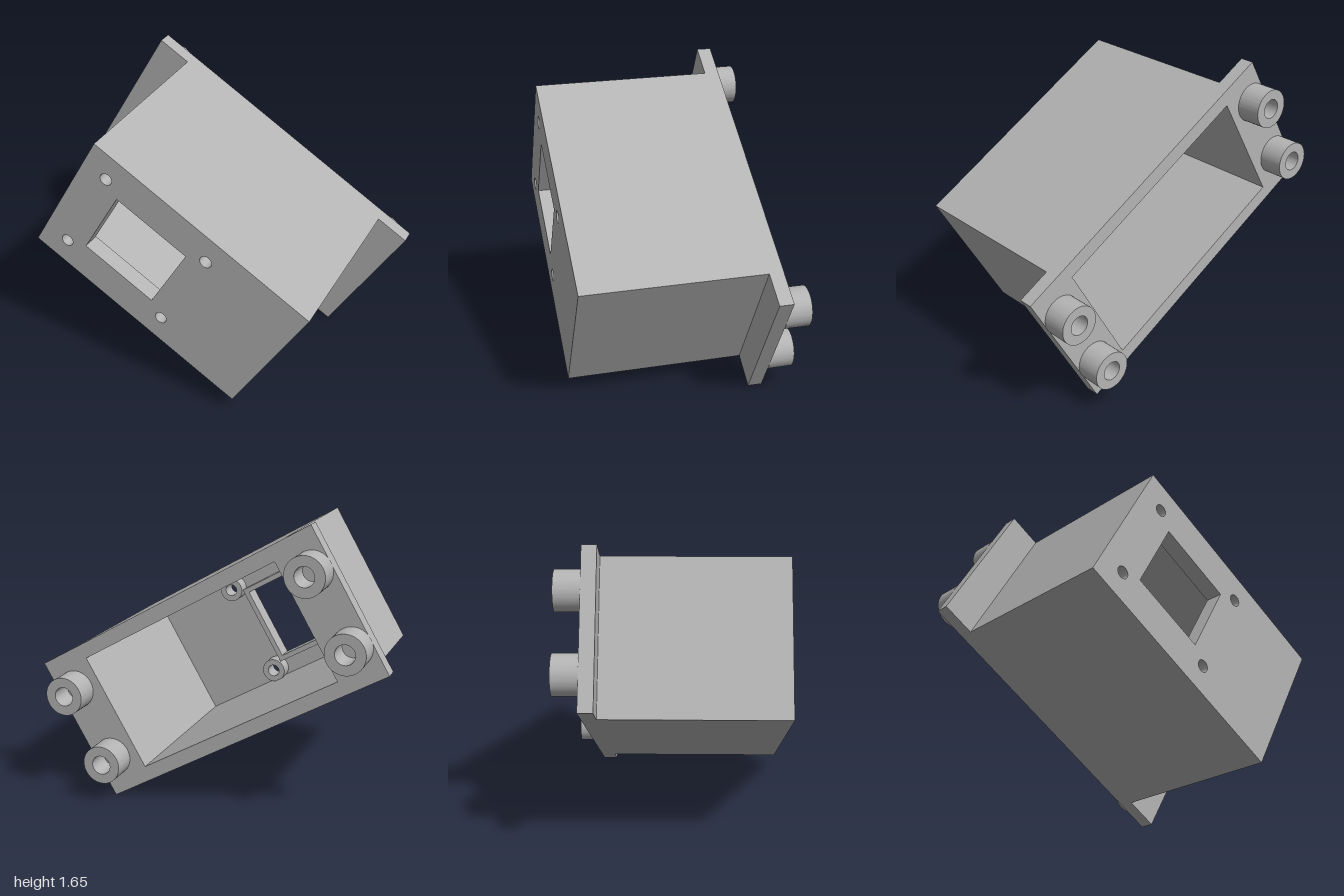
import * as THREE from 'three';
import { toCreasedNormals } from 'three/addons/utils/BufferGeometryUtils.js';

export function createModel() {
  const model = new THREE.Group();
  model.name = 'enclosure';
  const grey = new THREE.MeshStandardMaterial({ color: 0xb4b4b4 });
  grey.name = 'grey plastic';

  // Everything is laid out square, then tilted as one body
  const body = new THREE.Group();
  body.name = 'tiltedHousing';
  body.position.y = 0.826;
  body.rotation.z = -Math.PI / 6;
  model.add(body);

  const trace = (path, u0, u1, v0, v1) => {
    path.moveTo(u0, v0);
    path.lineTo(u1, v0);
    path.lineTo(u1, v1);
    path.lineTo(u0, v1);
    path.closePath();
    return path;
  };
  const rect = (u0, u1, v0, v1) => trace(new THREE.Shape(), u0, u1, v0, v1);
  const rectHole = (u0, u1, v0, v1) => trace(new THREE.Path(), u0, u1, v0, v1);
  const circle = (C, u, v, r) => new C().absarc(u, v, r, 0, Math.PI * 2, false);

  const add = (name, shape, holes, z0, z1) => {
    shape.holes.push(...holes);
    const extruded = new THREE.ExtrudeGeometry(shape, {
      depth: z1 - z0, bevelEnabled: false, curveSegments: 40,
    });
    const mesh = new THREE.Mesh(toCreasedNormals(extruded, 0.6), grey);
    mesh.name = name;
    mesh.position.z = z0;
    body.add(mesh);
  };

  const cavity = () => rectHole(-0.64, 0.64, -0.348, 0.348);
  const windowOpening = () => rectHole(-0.456, 0.012, -0.22, 0.22);
  const screws = [-0.56, 0.112].flatMap((u) => [-0.283, 0.283].map((v) => [u, v]));
  const feet = [-0.8, 0.8].flatMap((u) => [-0.218, 0.218].map((v) => [u, v]));

  // Rear flange and the four side walls
  add('rearFlange', rect(-0.906, 0.906, -0.43, 0.43), [cavity()], -0.47, -0.39);
  add('sideWalls', rect(-0.71, 0.71, -0.43, 0.43), [cavity()], -0.39, 0.59);

  // Front panel with window and screw holes
  add('frontPanel', rect(-0.71, 0.71, -0.43, 0.43),
    [windowOpening(), ...screws.map(([u, v]) => circle(THREE.Path, u, v, 0.035))], 0.59, 0.61);

  // Lip behind the window
  add('windowLip', rect(-0.486, 0.042, -0.25, 0.25), [windowOpening()], 0.51, 0.59);

  // Screw posts behind the front panel
  for (const [u, v] of screws) {
    add('screwPost', circle(THREE.Shape, u, v, 0.07), [circle(THREE.Path, u, v, 0.035)], 0.51, 0.59);
  }

  // Hollow mounting feet on the flange
  for (const [u, v] of feet) {
    add('mountingFoot', circle(THREE.Shape, u, v, 0.109), [circle(THREE.Path, u, v, 0.054)], -0.61, -0.47);
  }
  return model;
}
